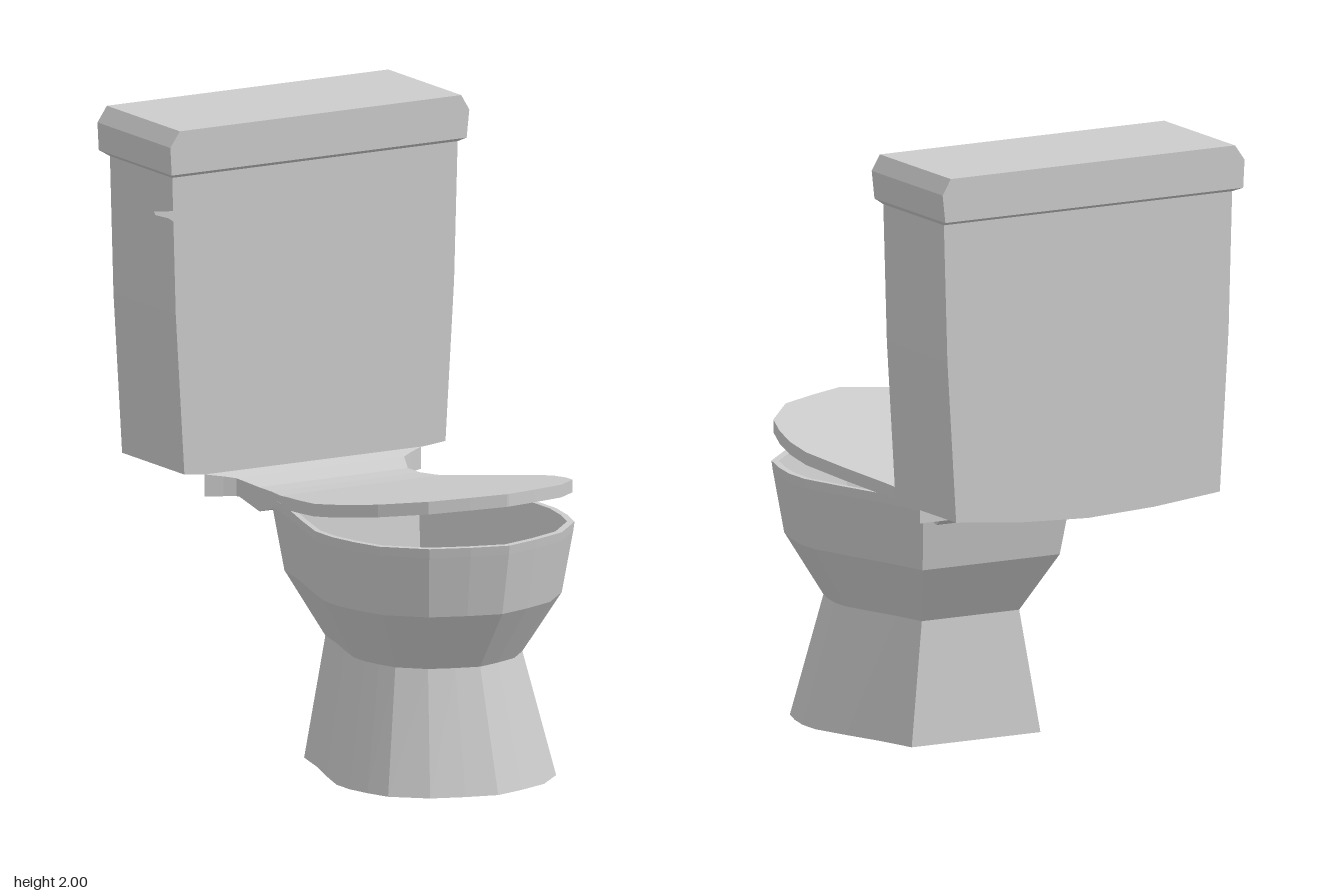
import * as THREE from 'three';

const CX = 0.015; // centre line of bowl and seat
const material = new THREE.MeshStandardMaterial({ color: 0xcccccc, flatShading: true });
const thinMaterial = new THREE.MeshStandardMaterial({ color: 0xcccccc, flatShading: true, side: THREE.DoubleSide });

// Skin a list of equal-length rings and close both ends with fans
function loft(name, rings) {
  const n = rings[0].length;
  const pos = rings.flat(2);
  const index = [];
  for (let i = 0; i < rings.length - 1; i++) {
    for (let j = 0; j < n; j++) {
      const a = i * n + j, b = i * n + (j + 1) % n;
      index.push(a, b, b + n, a, b + n, a + n);
    }
  }
  [0, rings.length - 1].forEach((r, end) => {
    const c = pos.length / 3;
    for (let k = 0; k < 3; k++) pos.push(rings[r].reduce((s, p) => s + p[k], 0) / n);
    for (let j = 0; j < n; j++) {
      const a = r * n + j, b = r * n + (j + 1) % n;
      if (end) index.push(c, a, b);
      else index.push(c, b, a);
    }
  });
  const geo = new THREE.BufferGeometry();
  geo.setAttribute('position', new THREE.Float32BufferAttribute(pos, 3));
  geo.setIndex(index);
  geo.computeVertexNormals();
  const mesh = new THREE.Mesh(geo, material);
  mesh.name = name;
  return mesh;
}

// Egg outline: [fraction from front to back, fraction of half width]
const EGG = [[0.035, 0.29], [0.085, 0.59], [0.2, 0.87], [0.3, 0.95], [0.4, 1], [0.5, 1], [0.66, 0.89], [0.83, 0.76], [1, 0.66]];

function eggRing(y, zFront, zBack, halfWidth) {
  const side = (s) => EGG.map(([t, w]) => [CX + s * w * halfWidth, y, zFront + (zBack - zFront) * t]);
  return [[CX, y, zFront], ...side(1), ...side(-1).reverse()];
}

// Slab along z from stations [z, halfWidth, bottom, top], back to front
function slab(name, stations) {
  return loft(name, stations.map(([z, w, b, t]) => [[CX - w, b, z], [CX + w, b, z], [CX + w, t, z], [CX - w, t, z]]));
}

const rectRing = (y, x0, x1, zBack, zFront) => [[x0, y, zFront], [x1, y, zFront], [x1, y, zBack], [x0, y, zBack]];

// Front-view profile extruded from zBack to zFront
function extrudeProfile(name, points, zBack, zFront) {
  const shape = new THREE.Shape(points.map(([x, y]) => new THREE.Vector2(x, y)));
  const geo = new THREE.ExtrudeGeometry(shape, { depth: zFront - zBack, bevelEnabled: false });
  geo.translate(0, 0, zBack);
  const mesh = new THREE.Mesh(geo, material);
  mesh.name = name;
  return mesh;
}

export function createModel() {
  const model = new THREE.Group();
  model.name = 'toilet';

  // Pedestal and hollow bowl
  model.add(loft('pedestal', [
    eggRing(0, 0.74, -0.055, 0.357),
    eggRing(0.395, 0.63, -0.02, 0.27),
  ]));
  model.add(loft('bowl', [
    eggRing(0.395, 0.63, -0.02, 0.27),
    eggRing(0.59, 0.765, -0.15, 0.38),
    eggRing(0.79, 0.805, -0.188, 0.412),
    eggRing(0.82, 0.81, -0.19, 0.415),
    eggRing(0.82, 0.785, -0.17, 0.395),
    eggRing(0.6, 0.74, -0.13, 0.36),
    eggRing(0.42, 0.6, 0, 0.25),
  ]));

  // Tilted seat lid
  const lidOutline = [[-0.19, 0.275], [-0.1, 0.295], [-0.03, 0.315], [0.14, 0.37], [0.3, 0.415], [0.4, 0.415],
    [0.5, 0.395], [0.6, 0.36], [0.72, 0.245], [0.765, 0.12], [0.8, 0.004]];
  model.add(slab('seatLid', lidOutline.map(([z, w]) => {
    const top = Math.max(0.84, 0.861 + 0.155 * z);
    return [z, w, z < -0.15 ? 0.8 : top - 0.041, top];
  })));

  // Shelf joining bowl and tank, with the wedge beneath
  model.add(slab('shelf', [
    [-0.39, 0.4, 0.8, 0.872], [-0.365, 0.345, 0.8, 0.864], [-0.345, 0.31, 0.8, 0.858],
    [-0.265, 0.275, 0.8, 0.84], [-0.19, 0.275, 0.8, 0.84],
  ]));
  model.add(slab('shelfWedge', [
    [-0.35, 0.3, 0.799, 0.801], [-0.27, 0.27, 0.76, 0.801], [-0.185, 0.272, 0.785, 0.801],
  ]));

  // Tank with tapered sides and a sagging base
  model.add(extrudeProfile('tank', [
    [-0.46, 0.88], [-0.22, 0.856], [0.022, 0.845], [0.265, 0.856], [0.505, 0.88],
    [0.537, 1.4], [0.55, 1.846], [-0.505, 1.846], [-0.492, 1.4],
  ], -0.77, -0.39));

  // Tank lid with chamfered ends and sloping underside
  model.add(loft('tankLidUnderside', [
    rectRing(1.845, -0.505, 0.55, -0.77, -0.39),
    rectRing(1.86, -0.525, 0.565, -0.805, -0.36),
  ]));
  model.add(extrudeProfile('tankLid', [
    [-0.525, 1.86], [0.565, 1.86], [0.575, 1.95], [0.545, 2], [-0.495, 2], [-0.53, 1.95],
  ], -0.805, -0.36));

  // Flat flush handle
  const lever = new THREE.Shape([[-0.58, 1.747], [-0.575, 1.735], [-0.525, 1.718], [-0.5, 1.7], [-0.48, 1.697],
    [-0.465, 1.715], [-0.465, 1.738], [-0.51, 1.74]].map(([x, y]) => new THREE.Vector2(x, y)));
  const handle = new THREE.Mesh(new THREE.ShapeGeometry(lever), thinMaterial);
  handle.name = 'flushHandle';
  handle.position.z = -0.378;
  model.add(handle);

  return model;
}
